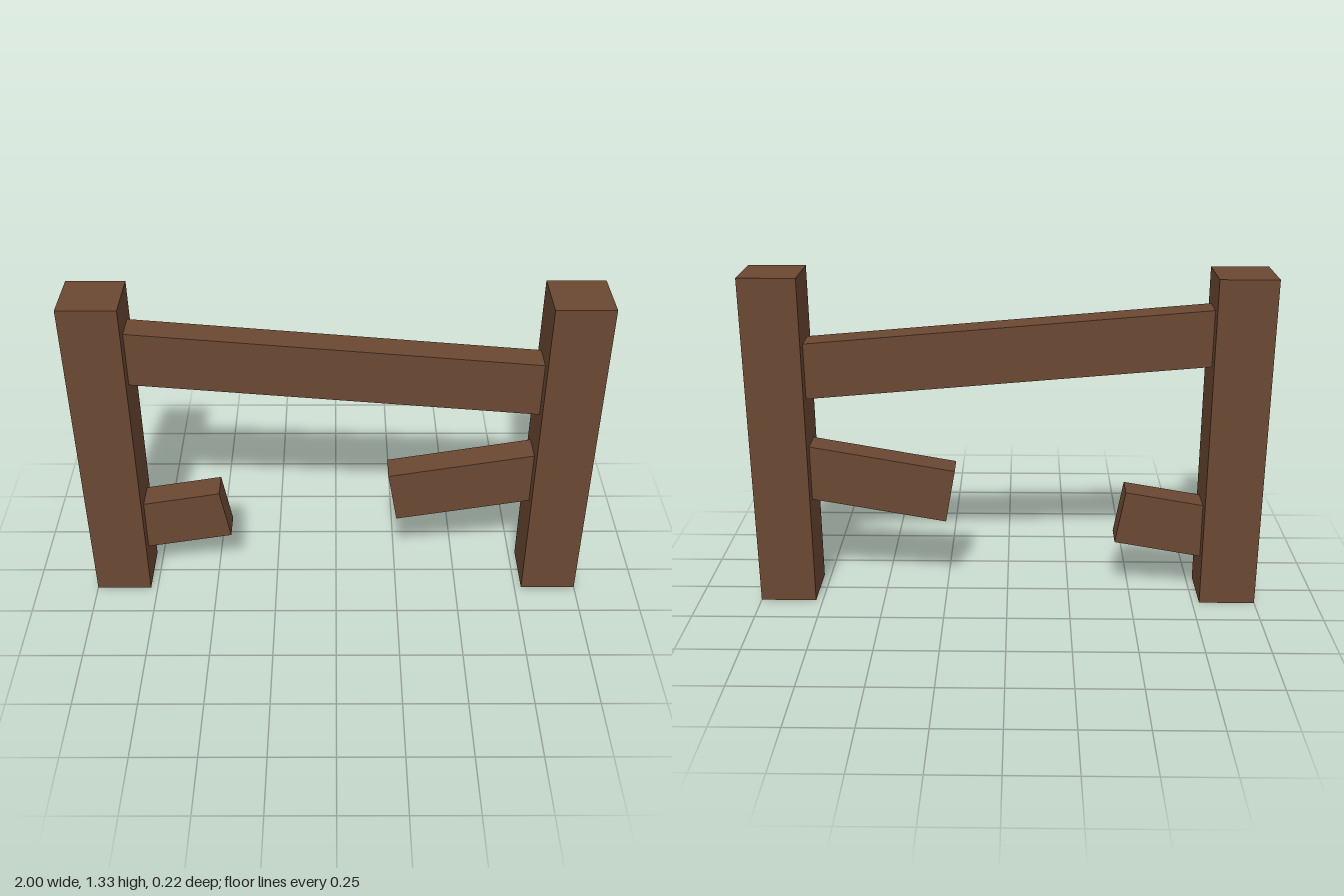
import * as THREE from 'three';

const POST = 0.222, HEIGHT = 1.333, POST_X = 0.889;

export function createModel() {
  const group = new THREE.Group();
  const wood = new THREE.MeshStandardMaterial({ color: 0x6b4832, flatShading: true });

  const addBox = (name, w, h, d, x, y, angle = 0) => {
    const mesh = new THREE.Mesh(new THREE.BoxGeometry(w, h, d), wood);
    mesh.name = name;
    mesh.position.set(x, y, 0);
    mesh.rotation.z = angle;
    group.add(mesh);
  };

  // A tilted plank whose centre line runs between two points
  const addRail = (name, x1, y1, x2, y2) =>
    addBox(name, Math.hypot(x2 - x1, y2 - y1), 0.22, 0.111,
      (x1 + x2) / 2, (y1 + y2) / 2, Math.atan2(y2 - y1, x2 - x1));

  // Square upright posts
  addBox('rightPost', POST, HEIGHT, POST, -POST_X, HEIGHT / 2);
  addBox('leftPost', POST, HEIGHT, POST, POST_X, HEIGHT / 2);

  // Sagging top rail, ends buried in the posts
  addRail('topRail', -POST_X, 1.102, POST_X, 0.946);

  // Broken lower rail: two stubs left on the posts
  addRail('rightBrokenRail', -POST_X, 0.274, -0.451, 0.351);
  addRail('leftBrokenRail', 0.227, 0.438, POST_X, 0.555);

  return group;
}
